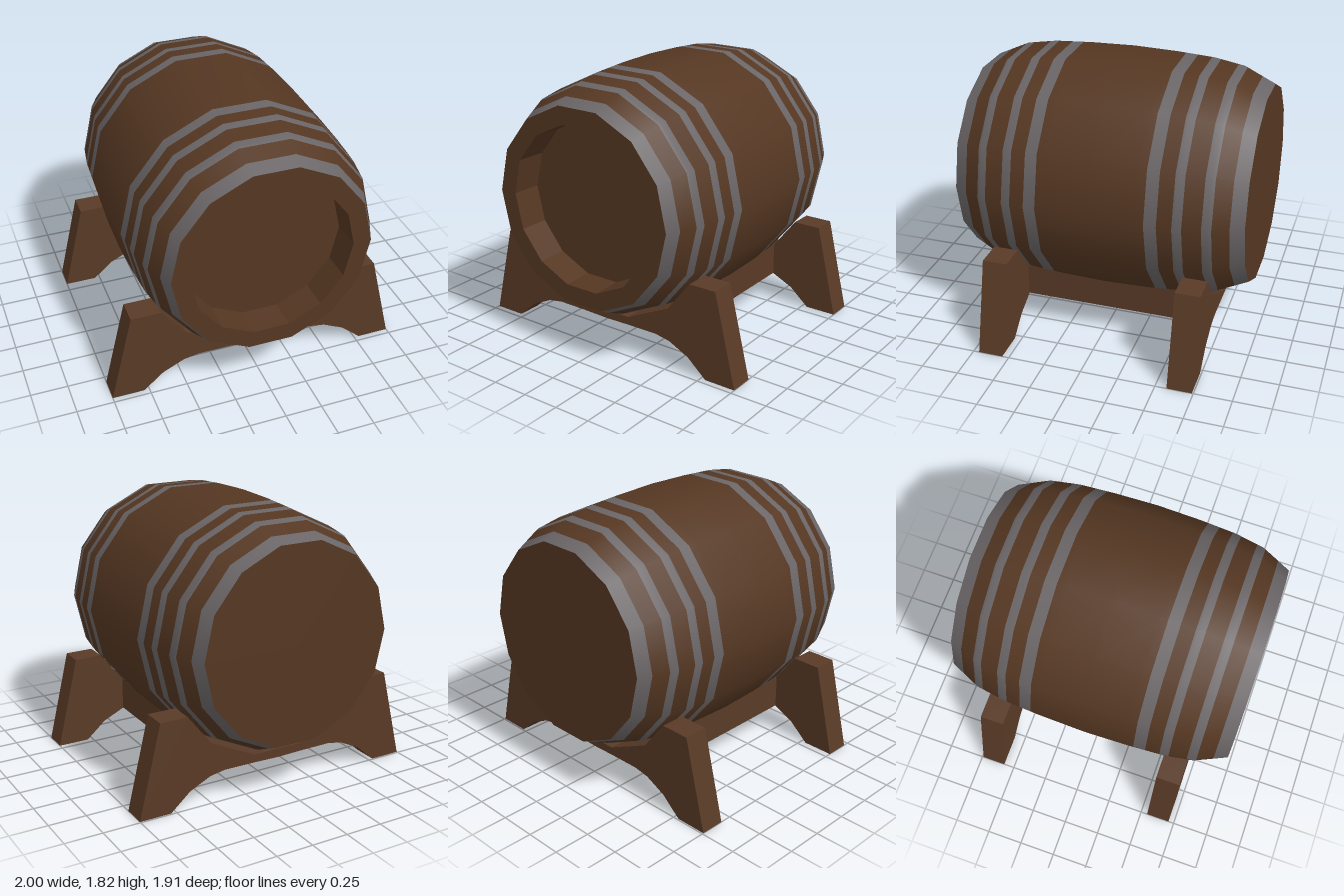
import * as THREE from 'three';

const SIDES = 14;
const CX = 0.005, CY = 1.028;      // barrel axis
const END = 0.957, END_R = 0.66;   // half length and end radius
const HEAD_R = 0.54, HEAD_DEPTH = 0.2;

function material(name, color) {
  const m = new THREE.MeshStandardMaterial({ color });
  m.name = name;
  return m;
}

function add(parent, name, geometry, mat) {
  const mesh = new THREE.Mesh(geometry, mat);
  mesh.name = name;
  parent.add(mesh);
  return mesh;
}

// Lathe along z with a corner on the x axis
function latheZ(points) {
  const pts = points.map(([r, z]) => new THREE.Vector2(r, z));
  return new THREE.LatheGeometry(pts, SIDES, Math.PI / 2).rotateX(Math.PI / 2);
}

// Barrel radius at distance |z| from the middle
const BULGE = [[0, 0.81], [0.3, 0.802], [0.55, 0.787], [0.75, 0.754], [END, END_R]];
function radiusAt(z) {
  const a = Math.abs(z);
  for (let i = 1; i < BULGE.length; i++) {
    const [z0, r0] = BULGE[i - 1], [z1, r1] = BULGE[i];
    if (a <= z1) return r0 + (r1 - r0) * (a - z0) / (z1 - z0);
  }
  return END_R;
}

const HOOPS = [[0.355, 0.435], [0.53, 0.59], [0.708, 0.768], [0.87, END]];

// Staves with flush hoops, coloured by geometry groups
function staveGeometry() {
  const half = [...new Set([...BULGE.map(b => b[0]), ...HOOPS.flat()])].sort((a, b) => a - b);
  const zs = [...half.slice(1).reverse().map(z => -z), ...half];
  const geo = latheZ(zs.map(z => [radiusAt(z), z]));
  const rows = zs.length - 1;
  for (let i = 0; i < SIDES; i++) {
    for (let j = 0; j < rows; j++) {
      const mid = Math.abs(zs[j] + zs[j + 1]) / 2;
      const hoop = HOOPS.some(([a, b]) => mid > a && mid < b);
      geo.addGroup((i * rows + j) * 6, 6, hoop ? 1 : 0);
    }
  }
  return geo;
}

// Cradle end with a scoop for the barrel and an arch between the feet
function cradleGeometry() {
  const top = 0.62, scoop = 0.79;
  const arch = [[0.785, 0], [0.65, 0.117], [0.505, 0.186], [0.4, 0.204], [0.2, 0.203], [0, 0.198]];
  const corner = k => {
    const a = -k * Math.PI * 2 / SIDES;
    return [CX + scoop * Math.cos(a), CY + scoop * Math.sin(a)];
  };
  const outline = [[1, 0], [0.85, top], [CX + 0.656, top]];
  for (let k = 2; k <= 5; k++) outline.push(corner(k));
  outline.push([CX - 0.656, top], [-0.85, top], [-1, 0]);
  arch.forEach(([x, y]) => outline.push([-x, y]));
  arch.slice(0, -1).reverse().forEach(p => outline.push(p));
  const shape = new THREE.Shape(outline.map(([x, y]) => new THREE.Vector2(x, y)));
  return new THREE.ExtrudeGeometry(shape, { depth: 0.165, bevelEnabled: false });
}

export function createModel() {
  const wood = material('barrel wood', 0x553722);
  const iron = material('hoop iron', 0x6a6566);
  const beam = material('cradle wood', 0x593a26);

  const model = new THREE.Group();
  model.name = 'barrelOnCradle';

  // Barrel
  const barrel = new THREE.Group();
  barrel.name = 'barrel';
  barrel.position.set(CX, CY, 0);
  model.add(barrel);
  add(barrel, 'stavesAndHoops', staveGeometry(), [wood, iron]);

  // Flat back head
  const back = add(barrel, 'backHead', new THREE.CircleGeometry(END_R, SIDES), wood);
  back.position.z = -END;
  back.rotation.y = Math.PI;

  // Recessed front head
  add(barrel, 'frontRim', new THREE.RingGeometry(HEAD_R, END_R, SIDES), wood).position.z = END;
  const wall = latheZ([[HEAD_R, END], [HEAD_R - 0.005, END - HEAD_DEPTH]]).toNonIndexed();
  wall.computeVertexNormals();
  add(barrel, 'recessWall', wall, wood);
  add(barrel, 'frontHead', new THREE.CircleGeometry(HEAD_R - 0.005, SIDES), wood).position.z = END - HEAD_DEPTH;

  // Cradle
  const cradle = new THREE.Group();
  cradle.name = 'cradle';
  model.add(cradle);
  add(cradle, 'frontCradleEnd', cradleGeometry(), beam).position.z = 0.546;
  add(cradle, 'backCradleEnd', cradleGeometry(), beam).position.z = -0.741;
  for (const side of [1, -1]) {
    const rail = add(cradle, side > 0 ? 'leftRail' : 'rightRail', new THREE.BoxGeometry(0.12, 0.225, 1.14), beam);
    rail.position.set(side * 0.44, 0.3025, -0.015);
  }
  return model;
}
